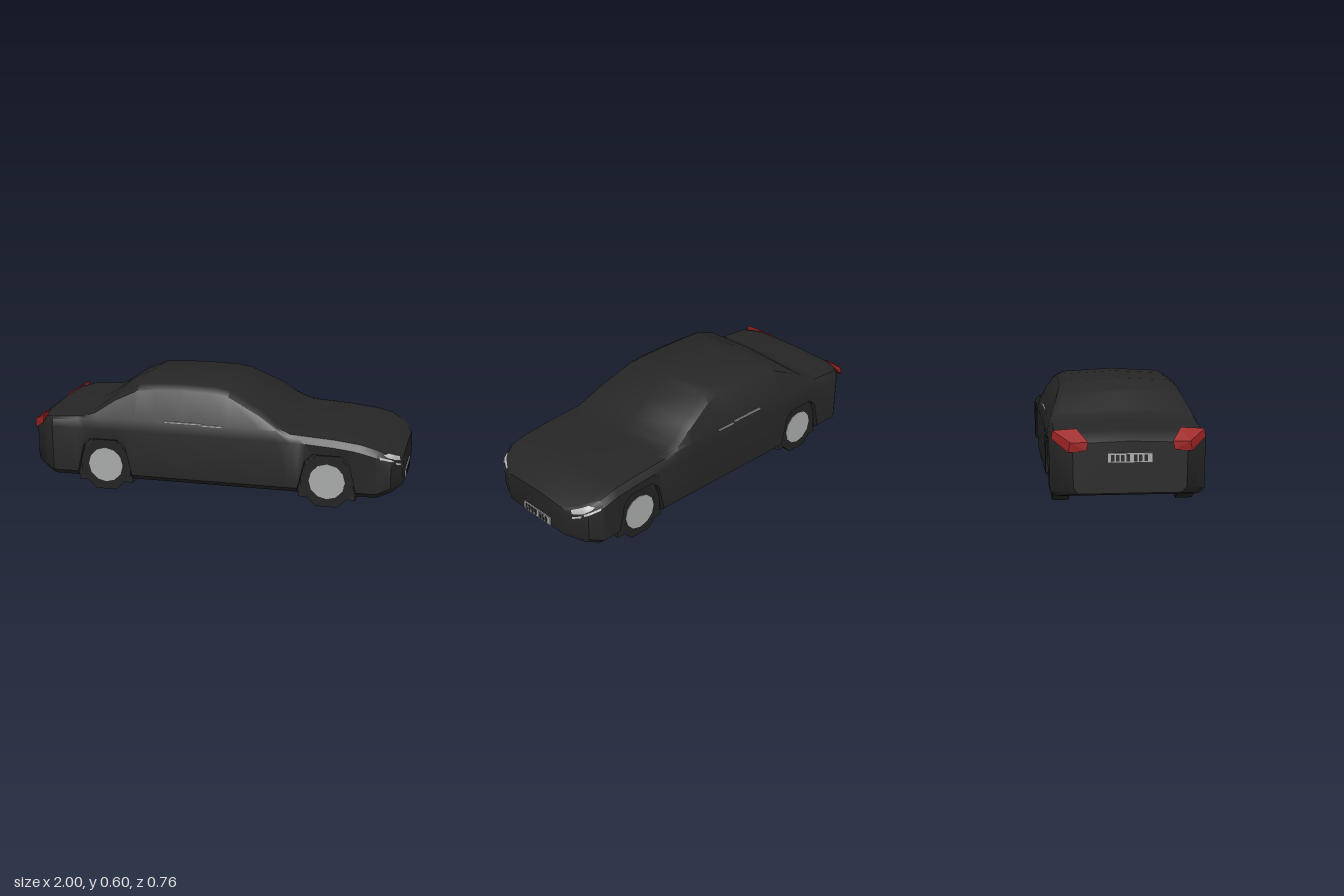
import * as THREE from 'three';
import { toCreasedNormals } from 'three/addons/utils/BufferGeometryUtils.js';
import { ConvexGeometry } from 'three/addons/geometries/ConvexGeometry.js';

const mat = (name, color, side = THREE.FrontSide) => {
  const m = new THREE.MeshStandardMaterial({ color, side });
  m.name = name;
  return m;
};

// Piecewise linear lookup in [x, value] pairs
function lookup(table, x) {
  if (x <= table[0][0]) return table[0][1];
  for (let i = 1; i < table.length; i++) {
    const [x0, v0] = table[i - 1], [x1, v1] = table[i];
    if (x <= x1) return v0 + (v1 - v0) * (x - x0) / (x1 - x0);
  }
  return table[table.length - 1][1];
}

const REAR = -0.992, NOSE = 0.992;
const AXLES = [-0.582, 0.614];
const roofLine = [[REAR, 0.35], [-0.94, 0.388], [-0.87, 0.405], [-0.7, 0.417], [-0.63, 0.452], [-0.53, 0.53],
  [-0.41, 0.585], [-0.3, 0.594], [-0.17, 0.597], [0, 0.593], [0.08, 0.58], [0.25, 0.5], [0.35, 0.425], [0.42, 0.395],
  [0.65, 0.38], [0.78, 0.365], [0.87, 0.343], [0.94, 0.308], [NOSE, 0.275]];
const widthScale = [[REAR, 0.72], [-0.925, 0.89], [-0.87, 1], [0.87, 1], [0.94, 0.91], [NOSE, 0.635]];
const floorLine = [[REAR, 0.1], [-0.87, 0.068], [0.87, 0.068], [NOSE, 0.11]];
const archLine = [[-0.155, 0.095], [-0.15, 0.1], [-0.115, 0.245], [-0.075, 0.285], [0.075, 0.285], [0.115, 0.245],
  [0.15, 0.1], [0.155, 0.095]];

// Half outline of the body at x, as [z, y] from roof centre to floor centre
function section(x) {
  const top = lookup(roofLine, x), w = lookup(widthScale, x), floor = lookup(floorLine, x);
  const cabin = THREE.MathUtils.clamp((top - 0.41) / 0.09, 0, 1);
  const y2 = top - 0.015 - 0.024 * cabin;
  const z2 = y2 > 0.4 ? Math.min(0.355, 0.295 + (0.56 - y2) * 0.4375) : 0.355;
  const axle = AXLES.find(a => Math.abs(x - a) < 0.152);
  const sill = axle === undefined ? floor + 0.028 : lookup(archLine, x - axle);
  const inner = axle === undefined ? floor : sill;
  return [[0, top], [z2 - 0.04, top - 0.008 - 0.006 * cabin], [z2, y2], [0.367, Math.min(0.4, top - 0.03)],
    [0.38, Math.min(0.34, top - 0.05)], [0.375, sill], [0.345, inner], [0.345, floor], [0, floor]]
    .map(([z, y]) => [z * w, y]);
}

function bodyGeometry() {
  const xs = [roofLine, widthScale].flatMap(t => t.map(p => p[0]));
  for (const a of AXLES) for (const [d] of archLine) xs.push(a + d);
  const stations = [...new Set(xs)].sort((a, b) => a - b);
  const pos = [], index = [];
  let n = 0;
  for (const x of stations) {
    const half = section(x);
    const ring = [...half, ...half.slice(1, -1).reverse().map(([z, y]) => [-z, y])];
    n = ring.length;
    for (const [z, y] of ring) pos.push(x, y, z);
  }
  const last = (stations.length - 1) * n;
  for (let i = 0; i < stations.length - 1; i++) {
    for (let j = 0; j < n; j++) {
      const a = i * n + j, d = i * n + (j + 1) % n, b = a + n, c = d + n;
      index.push(a, d, c, a, c, b);
    }
  }
  for (let j = 1; j < n - 1; j++) index.push(last, last + j, last + j + 1, 0, j + 1, j);
  const g = new THREE.BufferGeometry();
  g.setAttribute('position', new THREE.Float32BufferAttribute(pos, 3));
  g.setIndex(index);
  return toCreasedNormals(g, 0.6);
}

// Thin strip between two [z, y] edges, laid onto the nose of the body
function lampGeometry(body, upper, lower, side) {
  const ray = new THREE.Raycaster(), back = new THREE.Vector3(-1, 0, 0);
  const pos = [], index = [], cols = 12, rows = 4;
  const along = (edge, t) => {
    const s = t * (edge.length - 1), i = Math.min(Math.floor(s), edge.length - 2), f = s - i;
    return [0, 1].map(k => edge[i][k] + (edge[i + 1][k] - edge[i][k]) * f);
  };
  for (let i = 0; i <= cols; i++) {
    const u = along(upper, i / cols), l = along(lower, i / cols);
    for (let j = 0; j <= rows; j++) {
      const z = (u[0] + (l[0] - u[0]) * j / rows) * side, y = u[1] + (l[1] - u[1]) * j / rows;
      ray.set(new THREE.Vector3(2, y, z), back);
      const hit = ray.intersectObject(body)[0];
      const p = hit ? hit.point.addScaledVector(hit.face.normal, 0.005) : new THREE.Vector3(0.88, y, z);
      pos.push(p.x, p.y, p.z);
      if (i < cols && j < rows) {
        const a = i * (rows + 1) + j, b = a + rows + 1;
        index.push(a, a + 1, b, b, a + 1, b + 1);
      }
    }
  }
  const g = new THREE.BufferGeometry();
  g.setAttribute('position', new THREE.Float32BufferAttribute(pos, 3));
  g.setIndex(index);
  g.computeVertexNormals();
  return g;
}

export function createModel() {
  const model = new THREE.Group();
  model.name = 'car';
  const paint = mat('black paint', 0x262626);
  const rubber = mat('black rubber', 0x222222);
  const metal = mat('grey metal', 0xa9abab);
  const lampGlass = mat('lamp glass', 0xbcbcbc, THREE.DoubleSide);
  const red = mat('red glass', 0x9c2222);
  const add = (name, geometry, material, x = 0, y = 0, z = 0) => {
    const m = new THREE.Mesh(geometry, material);
    m.name = name;
    m.position.set(x, y, z);
    model.add(m);
    return m;
  };

  const body = add('body', bodyGeometry(), paint);
  body.updateMatrixWorld();

  // Wheel housings run the full width, with the wheels set into them
  const outline = new THREE.Shape([[-0.15, 0.045], [0.15, 0.045], [0.115, 0.235], [0.08, 0.27], [-0.08, 0.27],
    [-0.115, 0.235]].map(([x, y]) => new THREE.Vector2(x, y)));
  const housing = new THREE.ExtrudeGeometry(outline, { depth: 0.7, bevelEnabled: false });
  const tyre = toCreasedNormals(new THREE.CylinderGeometry(0.149, 0.149, 0.084, 8, 1, false, Math.PI / 8), 0.3);
  tyre.rotateX(Math.PI / 2);
  const hub = new THREE.CylinderGeometry(0.095, 0.095, 0.008, 12);
  hub.rotateX(Math.PI / 2);
  for (const x of AXLES) {
    add('wheelHousing', housing, paint, x, 0, -0.35);
    for (const s of [1, -1]) {
      add('tyre', tyre, rubber, x, 0.1377, s * 0.311);
      add('hubcap', hub, metal, x, 0.1377, s * 0.352);
    }
  }

  const lamps = [
    ['headlight', [[0.352, 0.3], [0.33, 0.305], [0.295, 0.288], [0.258, 0.272]],
      [[0.345, 0.287], [0.32, 0.268], [0.29, 0.26], [0.264, 0.254]]],
    ['sideLamp', [[0.373, 0.296], [0.35, 0.281], [0.322, 0.266]], [[0.373, 0.284], [0.35, 0.268], [0.326, 0.256]]],
    ['lowerLamp', [[0.316, 0.256], [0.268, 0.24]], [[0.31, 0.242], [0.265, 0.226]]]
  ];
  const tail = [[-1, 0.347, 0.2], [-1, 0.308, 0.21], [-1, 0.347, 0.285], [-0.995, 0.3, 0.295],
    [-0.92, 0.402, 0.25], [-0.92, 0.395, 0.365], [-0.922, 0.355, 0.37]];
  for (const s of [1, -1]) {
    for (const [name, upper, lower] of lamps) add(name, lampGeometry(body, upper, lower, s), lampGlass);
    add('tailLight', new ConvexGeometry(tail.map(([x, y, z]) => new THREE.Vector3(x, y, z * s))), red);
    // Door handle strips
    add('rearDoorHandle', new THREE.BoxGeometry(0.195, 0.007, 0.009), metal, -0.15, 0.403, s * 0.367);
    add('frontDoorHandle', new THREE.BoxGeometry(0.11, 0.007, 0.009), metal, 0.01, 0.397, s * 0.369);
  }

  // Number plates with plain dark blocks
  for (const [name, s, y] of [['frontPlate', 1, 0.134], ['rearPlate', -1, 0.27]]) {
    add(name, new THREE.BoxGeometry(0.008, 0.046, 0.214), metal, s * 0.994, y, 0);
    for (const z of [0.085, 0.061, 0.037, 0.012, -0.024, -0.048, -0.073]) {
      add('plateBlock', new THREE.BoxGeometry(0.004, 0.032, 0.016), paint, s * 0.998, y, s * z);
    }
  }
  return model;
}
